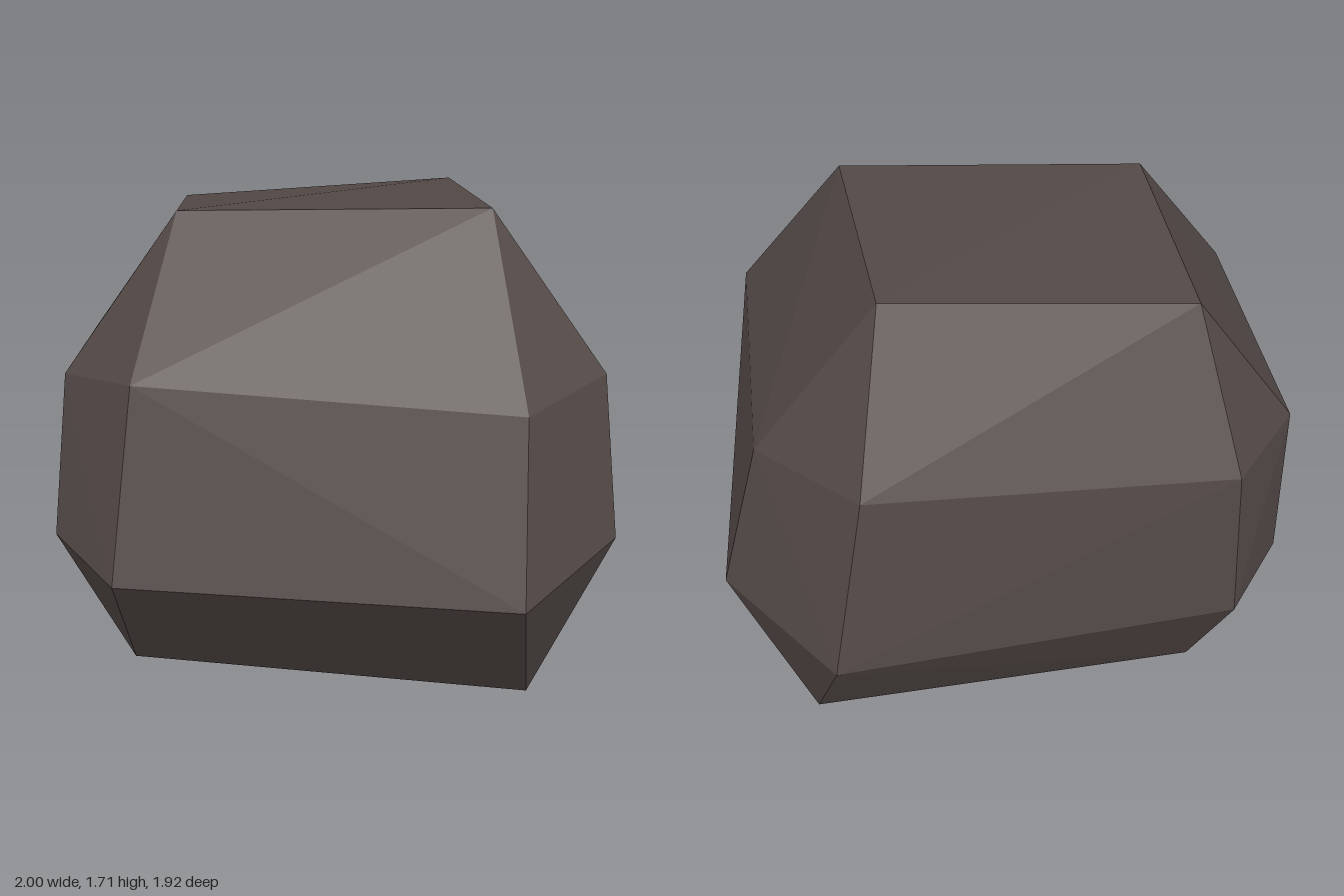
import * as THREE from 'three';
import { ConvexGeometry } from 'three/addons/geometries/ConvexGeometry.js';

// Corner points of a worn, bevelled boulder, one ring per level.
const levels = {
  top: [
    [-0.58, 1.69, 0.24], [0.49, 1.71, 0.33], [0.42, 1.68, -0.52], [-0.61, 1.61, -0.55],
  ],
  shoulder: [
    [-0.71, 1.2, 0.68], [0.57, 1.12, 0.79], [0.87, 1.18, 0.51], [0.85, 1.14, -0.52],
    [0.52, 1.14, -0.84], [-0.73, 1.08, -0.81], [-0.98, 1.1, -0.52], [-0.96, 1.17, 0.43],
  ],
  waist: [
    [-0.78, 0.56, 0.84], [0.56, 0.51, 0.96], [0.9, 0.65, 0.67], [1, 0.6, -0.56],
    [0.64, 0.5, -0.96], [-0.75, 0.52, -0.86], [-1, 0.48, -0.51], [-1, 0.64, 0.57],
  ],
  base: [
    [-0.76, 0.13, 0.49], [0.64, 0, 0.54], [0.72, 0.03, -0.67], [-0.69, 0.01, -0.58],
  ],
};

export function createModel() {
  const stone = new THREE.MeshStandardMaterial({ color: 0x524846 });
  stone.name = 'darkStone';

  // The hull gives flat facets with hard edges.
  const points = Object.values(levels).flat().map((p) => new THREE.Vector3(...p));
  const boulder = new THREE.Mesh(new ConvexGeometry(points), stone);
  boulder.name = 'boulder';

  const group = new THREE.Group();
  group.name = 'rock';
  group.add(boulder);
  return group;
}
